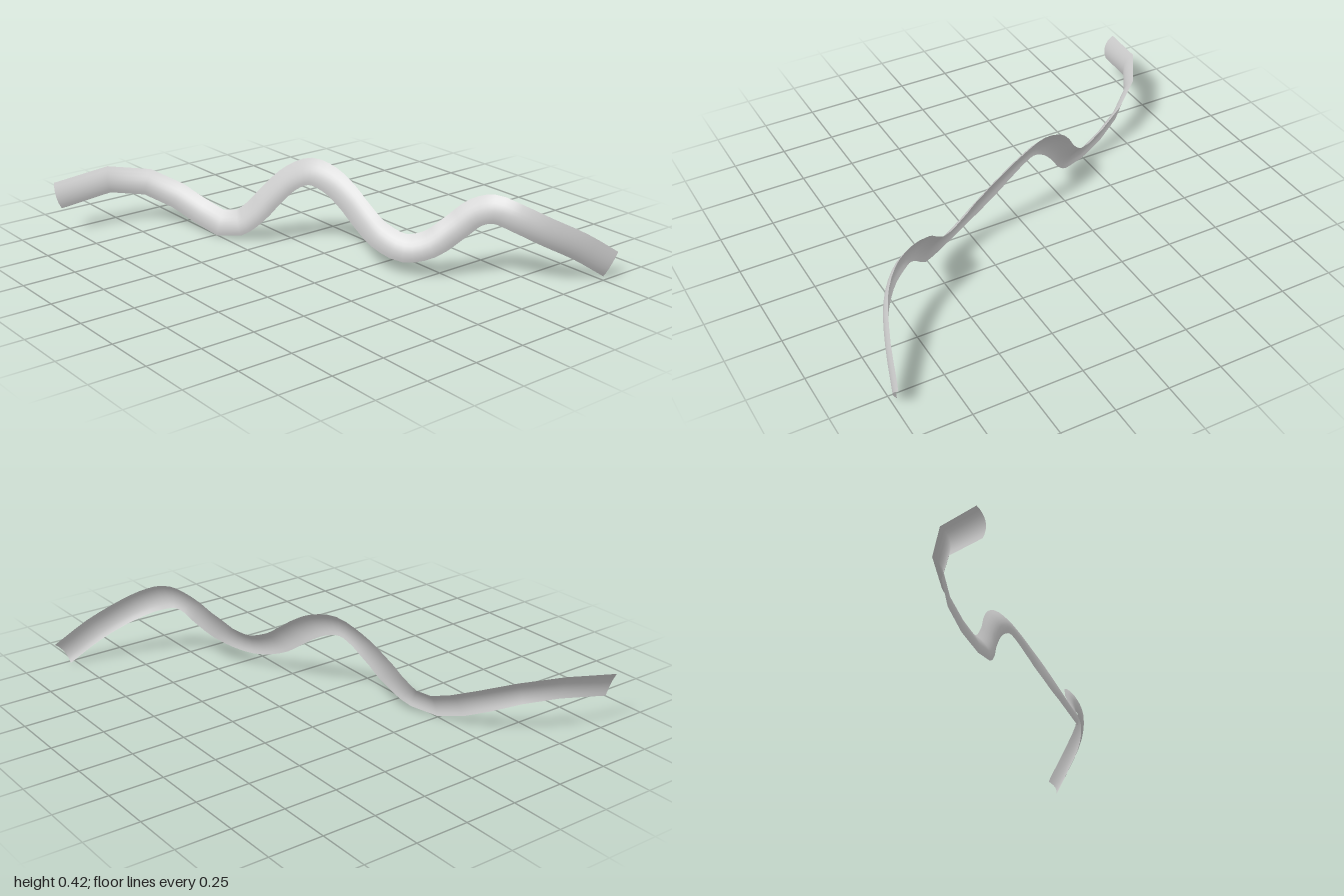
import * as THREE from 'three';

// Centreline of the ribbon, from its right end (-x) to its left end (+x)
const PATH = [
  [-0.978, 0.19, 0.818], [-0.935, 0.23, 0.567], [-0.84, 0.21, 0.411], [-0.72, 0.155, 0.322],
  [-0.6, 0.1, 0.273], [-0.49, 0.065, 0.238], [-0.4, 0.08, 0.195], [-0.33, 0.145, 0.147],
  [-0.265, 0.24, 0.093], [-0.19, 0.325, 0.042], [-0.1, 0.37, 0.003], [0, 0.351, -0.027],
  [0.1, 0.298, -0.044], [0.2, 0.23, -0.052], [0.3, 0.167, -0.066], [0.42, 0.13, -0.11],
  [0.51, 0.16, -0.178], [0.58, 0.24, -0.26], [0.64, 0.31, -0.318], [0.71, 0.335, -0.36],
  [0.8, 0.307, -0.412], [0.88, 0.25, -0.503], [0.945, 0.165, -0.653], [0.99, 0.062, -0.805],
].map((p) => new THREE.Vector3(...p));

const WIDTH = 0.125;
const BULGE = 0.022;
const BULGE_DIRECTION = new THREE.Vector3(0.66, 0, 0.75);
const UP = new THREE.Vector3(0, 1, 0);
const ACROSS = 8;
const COARSE = 6; // leading spans left as straight facets

// The strip leans back, most in the middle, and straightens up at its +x end
const { smoothstep } = THREE.MathUtils;
const lean = (x) => (0.33 + 0.09 * smoothstep(x, -0.9, -0.3)) * (1 - smoothstep(x, 0.5, 1.02));

function ribbonGeometry() {
  const curve = new THREE.CatmullRomCurve3(PATH);
  const last = PATH.length - 1;
  const stations = [];
  for (let i = 0; i < last; i++) {
    const steps = i < COARSE ? 1 : 3;
    for (let k = 0; k < steps; k++) stations.push((i + k / steps) / last);
  }
  stations.push(1);

  const positions = [];
  const index = [];
  stations.forEach((t, i) => {
    // Direction across the strip: square to the path, leaning back
    const centre = curve.getPoint(t);
    const along = curve.getTangent(t);
    const rise = UP.clone().addScaledVector(along, -UP.dot(along)).normalize();
    rise.applyAxisAngle(along, -lean(centre.x));
    // Shallow arched cross-section
    for (let j = 0; j <= ACROSS; j++) {
      const v = (2 * j) / ACROSS - 1;
      const p = centre.clone()
        .addScaledVector(rise, (v * WIDTH) / 2)
        .addScaledVector(BULGE_DIRECTION, BULGE * (0.5 - v * v));
      positions.push(p.x, p.y, p.z);
      if (i < stations.length - 1 && j < ACROSS) {
        const a = i * (ACROSS + 1) + j;
        const b = a + ACROSS + 1;
        index.push(a, b, b + 1, a, b + 1, a + 1);
      }
    }
  });

  const geometry = new THREE.BufferGeometry();
  geometry.setAttribute('position', new THREE.Float32BufferAttribute(positions, 3));
  geometry.setIndex(index);
  geometry.computeVertexNormals();
  return geometry;
}

export function createModel() {
  const group = new THREE.Group();
  group.name = 'wavyRibbon';
  const material = new THREE.MeshStandardMaterial({ color: 0xcccccc, side: THREE.DoubleSide });
  const ribbon = new THREE.Mesh(ribbonGeometry(), material);
  ribbon.name = 'ribbon';
  group.add(ribbon);
  return group;
}
